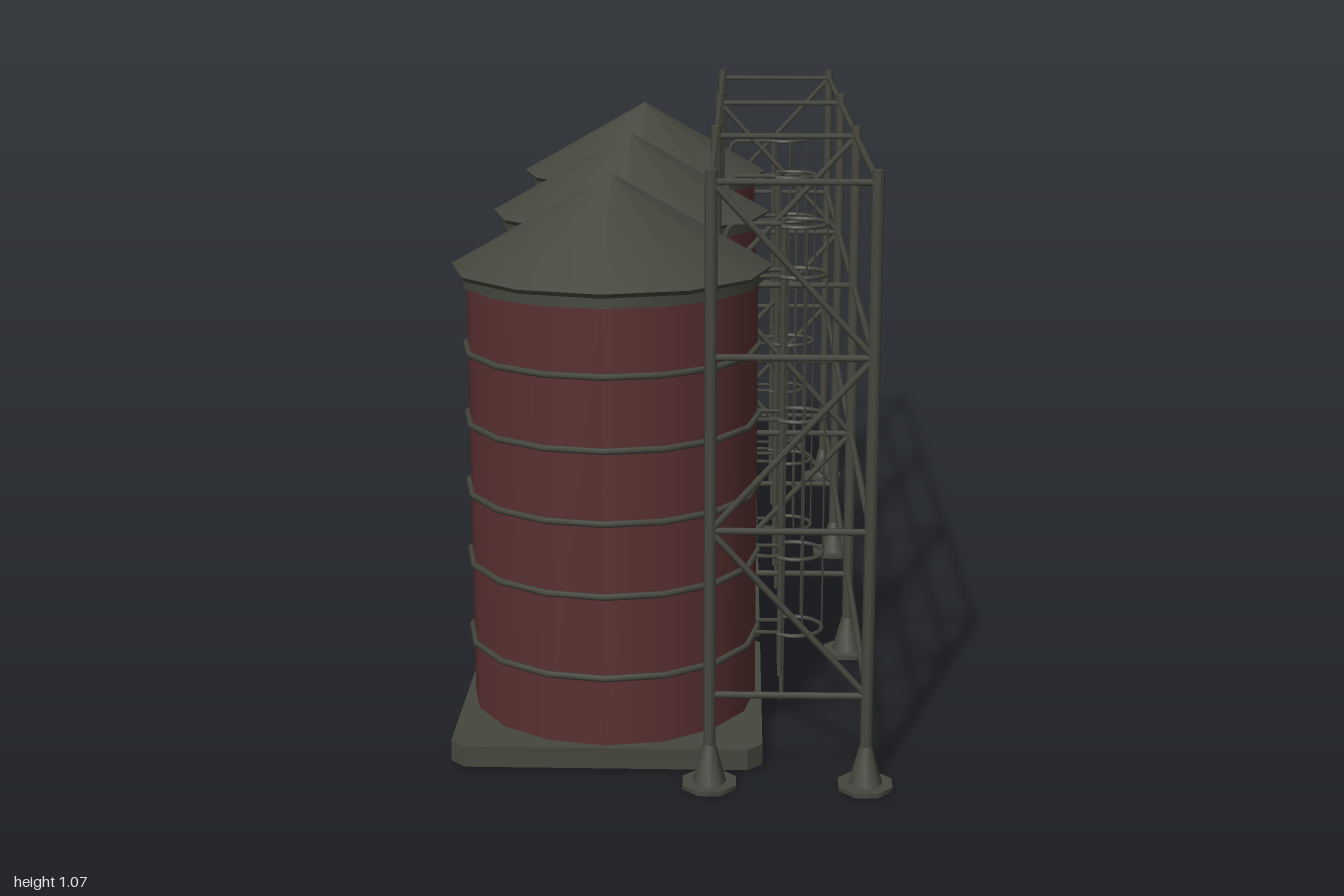
import * as THREE from 'three';

const steel = new THREE.MeshStandardMaterial({ color: 0x45463d });
steel.name = 'dark olive steel';
const red = new THREE.MeshStandardMaterial({ color: 0x5a3030 });
red.name = 'dull red cladding';

const TANK_X = -0.107;
const TANK_R = 0.262;
const INNER_X = 0.075, OUTER_X = 0.343;
const FRAME_Z = [0.953, 0.316, -0.32, -0.953];
const LEVELS = [1.05, 0.76, 0.462, 0.17];

function add(parent, name, geometry, material, x = 0, y = 0, z = 0) {
  const mesh = new THREE.Mesh(geometry, material);
  mesh.name = name;
  mesh.position.set(x, y, z);
  parent.add(mesh);
  return mesh;
}

// Round bar between two points
function bar(parent, name, a, b, radius, sides = 6) {
  const from = new THREE.Vector3(...a), to = new THREE.Vector3(...b);
  const dir = to.clone().sub(from);
  const mesh = add(parent, name, new THREE.CylinderGeometry(radius, radius, dir.length(), sides), steel);
  mesh.position.copy(from).add(to).multiplyScalar(0.5);
  mesh.quaternion.setFromUnitVectors(new THREE.Vector3(0, 1, 0), dir.normalize());
  return mesh;
}

// Square slab with cut corners
function padGeometry(half, cut, height) {
  const h = half, c = half - cut;
  const corners = [[c, -h], [h, -c], [h, c], [c, h], [-c, h], [-h, c], [-h, -c], [-c, -h]];
  const shape = new THREE.Shape(corners.map(([x, y]) => new THREE.Vector2(x, y)));
  return new THREE.ExtrudeGeometry(shape, { depth: height, bevelEnabled: false }).rotateX(-Math.PI / 2);
}

function createTank() {
  const tank = new THREE.Group();
  tank.name = 'tank';
  add(tank, 'foundationPad', padGeometry(0.274, 0.026, 0.038), steel, 0, 0.01, 0);
  add(tank, 'tankWall', new THREE.CylinderGeometry(TANK_R, TANK_R, 0.8, 16), red, 0, 0.445, 0);

  // Stiffening hoops
  for (const y of [0.711, 0.582, 0.453, 0.322, 0.173]) {
    const hoop = add(tank, 'wallHoop', new THREE.TorusGeometry(TANK_R + 0.003, 0.006, 6, 16), steel, 0, y, 0);
    hoop.rotation.x = Math.PI / 2;
  }

  // Eave band and conical roof
  add(tank, 'eaveBand', new THREE.CylinderGeometry(0.271, 0.271, 0.025, 16), steel, 0, 0.842, 0);
  add(tank, 'roofLip', new THREE.CylinderGeometry(0.288, 0.282, 0.008, 12), steel, 0, 0.853, 0);
  add(tank, 'roof', new THREE.ConeGeometry(0.288, 0.163, 12), steel, 0, 0.9385, 0);
  return tank;
}

function createLadder() {
  const ladder = new THREE.Group();
  ladder.name = 'cagedLadder';
  const x = 0.2, half = 0.032;
  for (const s of [-1, 1]) {
    bar(ladder, 'ladderRail', [x, 0.09, s * half], [x, 0.935, s * half], 0.005);
  }
  for (let i = 0; i < 17; i++) {
    const y = 0.12 + i * 0.049;
    bar(ladder, 'rung', [x, y, -half], [x, y, half], 0.004, 5);
  }

  // Safety cage: open hoops joined by thin uprights
  const cx = 0.226, r = 0.052, reach = 2.2;
  const arc = [];
  for (let i = 0; i <= 12; i++) {
    const a = -reach + (2 * reach * i) / 12;
    arc.push(new THREE.Vector3(cx + r * Math.cos(a), 0, r * Math.sin(a)));
  }
  const hoop = new THREE.TubeGeometry(new THREE.CatmullRomCurve3(arc), 20, 0.004, 5);
  for (const y of [0.932, 0.842, 0.58, 0.322, 0.175]) {
    add(ladder, 'cageHoop', hoop, steel, 0, y, 0);
    if (y > 0.9) continue;
    for (const s of [-1, 1]) {
      bar(ladder, 'wallBracket', [0.14, y, s * half], [x, y, s * half], 0.004, 5);
    }
  }
  for (const a of [-1.3, 0, 1.3]) {
    const px = cx + r * Math.cos(a), pz = r * Math.sin(a);
    bar(ladder, 'cageUpright', [px, 0.175, pz], [px, 0.932, pz], 0.0018, 4);
  }
  return ladder;
}

// Pipe rising from the roof, then running down to the ground
function pipeGeometry() {
  const p = (x, y) => new THREE.Vector3(x, y, -0.07);
  const path = new THREE.CurvePath();
  path.add(new THREE.LineCurve3(p(0.09, 0.88), p(0.097, 0.902)));
  path.add(new THREE.QuadraticBezierCurve3(p(0.097, 0.902), p(0.102, 0.92), p(0.118, 0.92)));
  path.add(new THREE.LineCurve3(p(0.118, 0.92), p(0.192, 0.92)));
  path.add(new THREE.QuadraticBezierCurve3(p(0.192, 0.92), p(0.206, 0.92), p(0.206, 0.905)));
  path.add(new THREE.LineCurve3(p(0.206, 0.905), p(0.206, 0.002)));
  return new THREE.TubeGeometry(path, 120, 0.005, 6);
}

function createPost(x, z) {
  const post = new THREE.Group();
  post.name = 'post';
  post.position.set(x, 0, z);
  add(post, 'postShaft', new THREE.CylinderGeometry(0.0105, 0.0105, 1.06, 8), steel, 0, 0.54, 0);
  add(post, 'footCone', new THREE.CylinderGeometry(0.011, 0.03, 0.07, 8), steel, 0, 0.045, 0);
  const plate = add(post, 'footPlate', new THREE.CylinderGeometry(0.05, 0.05, 0.008, 8), steel, 0, 0.008, 0);
  plate.rotation.y = Math.PI / 8;
  return post;
}

function createGantry() {
  const gantry = new THREE.Group();
  gantry.name = 'gantry';
  FRAME_Z.forEach((z, f) => {
    gantry.add(createPost(INNER_X, z), createPost(OUTER_X, z));
    LEVELS.forEach((y, i) => {
      bar(gantry, 'crossBeam', [INNER_X, y, z], [OUTER_X, y, z], 0.006);
      if (i === LEVELS.length - 1) return;
      // Zigzag bracing, mirrored on every other frame
      const flip = (i + f) % 2 === 1;
      const a = flip ? OUTER_X : INNER_X, b = flip ? INNER_X : OUTER_X;
      bar(gantry, 'diagonalBrace', [a, y, z], [b, LEVELS[i + 1], z], 0.006);
    });
  });

  // Long rails joining the frames
  const z0 = FRAME_Z[0], z1 = FRAME_Z[3];
  bar(gantry, 'innerTopRail', [INNER_X, LEVELS[0], z0], [INNER_X, LEVELS[0], z1], 0.006);
  for (const y of LEVELS) {
    bar(gantry, 'outerRail', [OUTER_X, y, z0], [OUTER_X, y, z1], 0.006);
  }
  return gantry;
}

export function createModel() {
  const model = new THREE.Group();
  model.name = 'storageTanks';
  const pipe = pipeGeometry();
  for (const z of [0.631, -0.004, -0.638]) {
    const tank = createTank();
    tank.position.set(TANK_X, 0, z);
    const ladder = createLadder();
    ladder.position.z = z;
    model.add(tank, ladder);
    add(model, 'fillPipe', pipe, steel, 0, 0, z);
  }
  model.add(createGantry());
  return model;
}
